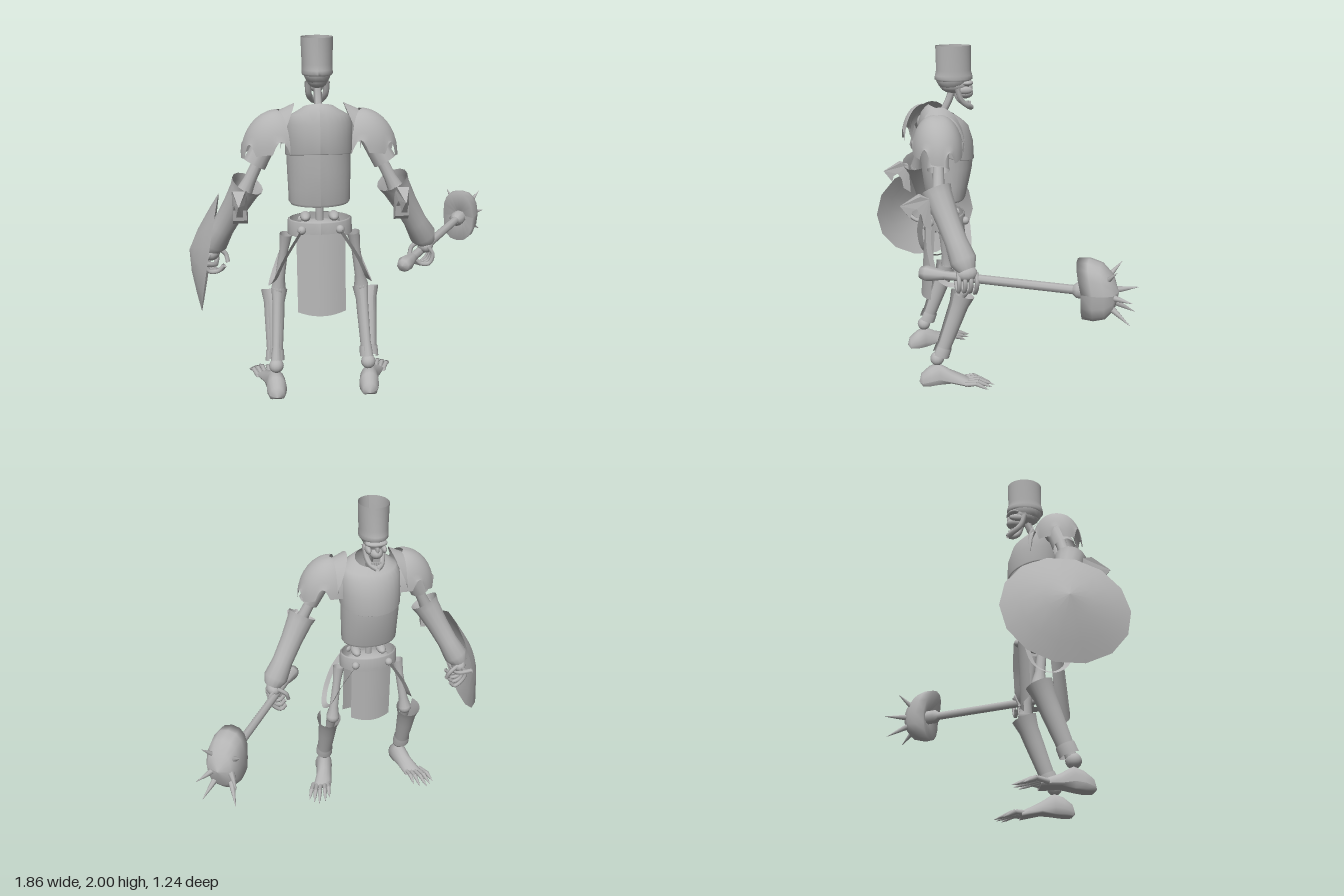
import * as THREE from 'three';

const bone = new THREE.MeshStandardMaterial({ color: 0xb4b4b4, side: THREE.DoubleSide });
bone.name = 'plain grey';
const V = (x, y, z) => new THREE.Vector3(x, y, z);
const CX = -0.21; // body centre line

export function createModel() {
  const model = new THREE.Group();
  model.name = 'skeletonWarrior';

  const add = (parent, name, geo) => {
    const m = new THREE.Mesh(geo, bone);
    m.name = name;
    parent.add(m);
    return m;
  };
  const ball = (p, name, x, y, z, rx, ry = rx, rz = rx) => {
    const m = add(p, name, new THREE.SphereGeometry(1, 14, 10));
    m.position.set(x, y, z);
    m.scale.set(rx, ry, rz);
    return m;
  };
  // turned shape from a to b; profile is [radius, fraction along the axis]
  const turned = (p, name, a, b, profile, seg = 12, start = 0, len = Math.PI * 2) => {
    const d = b.clone().sub(a), L = d.length();
    const pts = profile.map(([r, t]) => new THREE.Vector2(r, t * L));
    const m = add(p, name, new THREE.LatheGeometry(pts, seg, start, len));
    m.quaternion.setFromUnitVectors(V(0, 1, 0), d.normalize());
    m.position.copy(a);
    return m;
  };
  const tube = (p, name, pts, r) =>
    add(p, name, new THREE.TubeGeometry(new THREE.CatmullRomCurve3(pts), 14, r, 6));
  // grid surface from a rule f(u, v) -> point
  const surface = (p, name, nu, nv, f) => {
    const pos = [], idx = [];
    for (let j = 0; j <= nv; j++) for (let i = 0; i <= nu; i++) pos.push(...f(i / nu, j / nv).toArray());
    for (let j = 0; j < nv; j++) for (let i = 0; i < nu; i++) {
      const a = j * (nu + 1) + i, b = a + nu + 1;
      idx.push(a, b, a + 1, a + 1, b, b + 1);
    }
    const g = new THREE.BufferGeometry();
    g.setAttribute('position', new THREE.Float32BufferAttribute(pos, 3));
    g.setIndex(idx);
    g.computeVertexNormals();
    return add(p, name, g);
  };
  // stacked oval rings: [y, centre z, half width, half depth, rise towards the back]
  const rings = (p, name, rows) => surface(p, name, 28, rows.length - 1, (u, v) => {
    const [y, z, rx, rz, rise = 0] = rows[Math.round(v * (rows.length - 1))];
    const a = u * Math.PI * 2;
    return V(CX + rx * Math.sin(a), y + rise * Math.cos(a), z + rz * Math.cos(a));
  });

  // head, hat and neck
  const head = new THREE.Group();
  head.name = 'head';
  model.add(head);
  rings(head, 'hat', [[1.8, 0.19, 0.08, 0.1], [1.81, 0.19, 0.085, 0.112], [1.83, 0.19, 0.083, 0.11],
    [1.86, 0.19, 0.083, 0.102], [2.0, 0.19, 0.087, 0.104]]);
  ball(head, 'cranium', CX, 1.82, 0.2, 0.075, 0.085, 0.095);
  ball(head, 'skullBase', CX, 1.775, 0.185, 0.06, 0.05, 0.09);
  ball(head, 'brow', CX, 1.785, 0.12, 0.065, 0.02, 0.045);
  ball(head, 'upperJaw', CX, 1.725, 0.12, 0.038, 0.032, 0.045);
  ball(head, 'noseBridge', CX, 1.755, 0.1, 0.012, 0.035, 0.022);
  for (const s of [-1, 1]) {
    ball(head, 'cheekbone', CX + s * 0.045, 1.745, 0.13, 0.016, 0.022, 0.045);
    tube(head, 'jawSide', [V(CX + s * 0.052, 1.76, 0.18), V(CX + s * 0.046, 1.69, 0.155),
      V(CX + s * 0.03, 1.655, 0.115), V(CX, 1.64, 0.085)], 0.017);
  }
  for (let i = -2; i <= 2; i++) {
    const t = add(head, 'tooth', new THREE.BoxGeometry(0.009, 0.022, 0.008));
    t.position.set(CX + i * 0.012, 1.666, 0.092 + Math.abs(i) * 0.006);
  }
  tube(head, 'neck', [V(CX, 1.75, 0.2), V(CX, 1.69, 0.22), V(CX, 1.58, 0.28)], 0.022);

  // breastplate, spine and pelvis
  rings(model, 'lowerBreastplate', [[1.1, 0.25, 0.16, 0.11], [1.115, 0.25, 0.17, 0.118],
    [1.2, 0.245, 0.172, 0.135], [1.3, 0.24, 0.176, 0.152], [1.4, 0.24, 0.176, 0.155, 0.03]]);
  rings(model, 'upperBreastplate', [[1.37, 0.24, 0.177, 0.155, 0.032], [1.375, 0.24, 0.184, 0.163, 0.032],
    [1.47, 0.245, 0.184, 0.163, 0.02], [1.55, 0.255, 0.182, 0.145, 0.01], [1.595, 0.265, 0.16, 0.12, 0.022],
    [1.62, 0.265, 0.11, 0.095, 0.03], [1.635, 0.265, 0.085, 0.075, 0.03]]);
  turned(model, 'spine', V(CX, 0.93, 0.25), V(CX, 1.3, 0.25), [[0.022, 0], [0.022, 1]]);
  ball(model, 'pelvis', CX, 0.95, 0.25, 0.15, 0.05, 0.09);
  rings(model, 'belt', [[0.925, 0.255, 0.172, 0.112], [0.93, 0.255, 0.182, 0.12],
    [1.01, 0.255, 0.178, 0.117], [1.015, 0.255, 0.168, 0.108]]);

  // hanging cloths
  const cloth = (name, half, top, bottom, zTop, zBottom, bow) =>
    surface(model, name, 10, 5, (u, v) => V(CX + (u * 2 - 1) * half,
      top + (bottom - top) * v + 0.015 * v * (u * 2 - 1) ** 2,
      zTop + (zBottom - zTop) * v - bow * (u * 2 - 1) ** 2));
  cloth('backCloth', 0.135, 0.95, 0.48, 0.375, 0.41, 0.035);
  cloth('frontCloth', 0.125, 0.95, 0.55, 0.135, 0.145, -0.035);

  // one side of the body, later mirrored
  const buildSide = (name) => {
    const g = new THREE.Group();
    g.name = name;
    model.add(g);

    // domed shoulder plate with a jagged hem
    surface(g, 'pauldron', 48, 10, (u, v) => {
      const a = -0.35 + u * (Math.PI + 0.7), t = v * Math.PI / 2;
      const notch = Math.max(0, Math.sin(u * Math.PI * 8)) * 0.07 * Math.max(0, v - 0.8) * 5;
      return V(0.015 + 0.195 * Math.sin(t) * Math.sin(a),
        1.385 + 0.25 * Math.cos(t) + notch + 0.04 * v * Math.cos(a) ** 2,
        0.33 + 0.145 * Math.sin(t) * Math.cos(a));
    });
    // raised flange beside the neck
    surface(g, 'shoulderFlange', 14, 2, (u, v) => {
      const a = (u - 0.5) * Math.PI;
      return V(-v * 0.08 * Math.cos(a), 1.44 + 0.19 * Math.cos(a) + v * 0.035, 0.3 + 0.13 * Math.sin(a));
    });
    // arm
    ball(g, 'shoulderJoint', 0.03, 1.52, 0.32, 0.06);
    turned(g, 'upperArmPlate', V(0.06, 1.49, 0.33), V(0.14, 1.35, 0.35), [[0.06, 0], [0.065, 1]], 10);
    turned(g, 'upperArm', V(0.04, 1.52, 0.33), V(0.2, 1.2, 0.36), [[0.04, 0], [0.03, 0.4], [0.034, 0.8], [0.045, 1]]);
    ball(g, 'elbow', 0.2, 1.2, 0.36, 0.045);
    turned(g, 'gauntlet', V(0.178, 1.25, 0.37), V(0.402, 0.845, 0.245),
      [[0.09, 0], [0.08, 0.08], [0.068, 0.35], [0.064, 0.65], [0.076, 0.88], [0.05, 1]], 14);
    // hooked spur, narrowing towards its tip
    const hook = new THREE.Shape([[0.577, 1.18], [0.47, 1.235], [0.42, 1.22], [0.41, 1.04], [0.455, 1.07],
      [0.465, 1.13], [0.49, 1.165], [0.515, 1.15], [0.525, 1.11]].map(([a, b]) => new THREE.Vector2(a, b)));
    const spurGeo = new THREE.ExtrudeGeometry(hook, { depth: 0.08, bevelEnabled: false }).translate(0, 0, -0.04);
    const sp = spurGeo.attributes.position;
    for (let i = 0; i < sp.count; i++) sp.setZ(i, sp.getZ(i) * Math.min(1, (0.585 - sp.getX(i)) / 0.14));
    spurGeo.computeVertexNormals();
    const spur = add(g, 'elbowSpur', spurGeo);
    spur.rotation.y = -Math.PI / 2;
    spur.position.x = 0.222;
    // hand
    ball(g, 'palm', 0.395, 0.825, 0.245, 0.045, 0.045, 0.06);
    for (let i = 0; i < 4; i++) {
      const z = 0.195 + i * 0.033;
      tube(g, 'finger', [V(0.4, 0.83, z), V(0.43, 0.785, z), V(0.41, 0.73, z), V(0.36, 0.695 + i * 0.012, z),
        V(0.33, 0.725 + i * 0.012, z)], 0.0125);
    }
    tube(g, 'thumb', [V(0.38, 0.84, 0.21), V(0.325, 0.8, 0.2), V(0.31, 0.75, 0.215)], 0.013);

    // belt studs and the looped strap between them
    ball(g, 'frontStud', -0.105, 0.975, 0.15, 0.024);
    ball(g, 'backStud', -0.105, 0.975, 0.365, 0.024);
    ball(g, 'hipCrest', -0.13, 1.02, 0.25, 0.03, 0.025, 0.06);
    const loop = new THREE.CatmullRomCurve3([V(-0.105, 0.975, 0.375), V(-0.01, 0.82, 0.385), V(0.05, 0.68, 0.345),
      V(0.07, 0.635, 0.265), V(0.05, 0.68, 0.185), V(-0.01, 0.82, 0.15), V(-0.105, 0.975, 0.14)]);
    surface(g, 'hipStrap', 30, 1, (u, v) => {
      const w = loop.getTangent(u).cross(V(0.9, 0.42, 0)).normalize();
      w.lerp(V(0.9, 0.42, 0), 0.4).normalize();
      return loop.getPoint(u).addScaledVector(w, (v - 0.5) * 0.038);
    });

    // leg
    turned(g, 'thighBone', V(0.03, 0.58, 0.205), V(-0.02, 0.92, 0.25), [[0.042, 0], [0.028, 0.2], [0.025, 0.7], [0.036, 1]]);
    ball(g, 'knee', 0.03, 0.575, 0.205, 0.042);
    turned(g, 'shinBone', V(0.055, 0.17, 0.36), V(0.035, 0.57, 0.21), [[0.034, 0], [0.024, 0.25], [0.028, 0.8], [0.036, 1]]);
    turned(g, 'greave', V(0.062, 0.19, 0.345), V(0.055, 0.57, 0.205),
      [[0.054, 0], [0.052, 0.14], [0.046, 0.15], [0.056, 0.6], [0.06, 0.82], [0.076, 1]], 18, Math.PI * 0.2, Math.PI * 1.6);
    ball(g, 'ankle', 0.055, 0.165, 0.365, 0.042);
    // foot as cross-sections from heel to toes: [x, z, half width, height, underside]
    const foot = [[0.055, 0.475, 0.005, 0.03, 0.02], [0.055, 0.46, 0.042, 0.075, 0.004], [0.056, 0.41, 0.058, 0.115, 0.004],
      [0.06, 0.36, 0.054, 0.135, 0.01], [0.078, 0.29, 0.052, 0.092, 0.022], [0.1, 0.22, 0.06, 0.06, 0.012],
      [0.113, 0.18, 0.06, 0.04, 0.006]];
    surface(g, 'foot', 16, foot.length - 1, (u, v) => {
      const [x, z, w, h, low] = foot[Math.round(v * (foot.length - 1))];
      const a = u * Math.PI * 2;
      return V(x + w * Math.cos(a), Math.max(low, h * (0.35 + 0.65 * Math.sin(a))), z);
    });
    [[0.085, 0.08], [0.118, 0.05], [0.163, 0.035], [0.192, 0.055], [0.218, 0.085]].forEach(([x, z], i) => {
      const a = V(0.068 + i * 0.024, 0.026, 0.215), mid = V((a.x + x) / 2, 0.036, (a.z + z) / 2);
      turned(g, 'toe', a, mid, [[0.015, 0], [0.013, 1]], 7);
      turned(g, 'claw', mid, V(x, 0.004, z), [[0.015, 0], [0.009, 0.6], [0.001, 1]], 7);
    });
    return g;
  };
  buildSide('leftSide');
  const other = buildSide('rightSide');
  other.scale.x = -1;
  other.position.x = 2 * CX;

  // shield: shallow cone with a grip
  const apex = V(-0.933, 0.86, 0.285), rim = V(-0.82, 0.84, 0.285);
  turned(model, 'shield', rim, apex, [[0.332, 0], [0.24, 0.34], [0.12, 0.74], [0.001, 1]], 14);
  tube(model, 'shieldGrip', [V(-0.88, 0.82, 0.16), V(-0.8, 0.79, 0.2), V(-0.79, 0.78, 0.28), V(-0.8, 0.79, 0.35), V(-0.88, 0.82, 0.4)], 0.015);

  // mace handle
  const mace = new THREE.Group();
  mace.name = 'mace';
  model.add(mace);
  const along = V(0.527, 0.008, -0.85).normalize(), across = V(0.85, 0, 0.527);
  const grip = V(0.24, 0.79, 0.455);
  const at = (t) => grip.clone().addScaledVector(along, t);
  turned(mace, 'handle', at(0), at(0.93), [[0.025, 0], [0.025, 1]], 8);
  turned(mace, 'pommel', at(-0.03), at(0.12), [[0.001, 0], [0.035, 0.05], [0.045, 0.3], [0.026, 1]], 8);
  turned(mace, 'collar', at(0.85), at(0.93), [[0.026, 0], [0.045, 0.3], [0.045, 1]], 10);
  // mushroom head: [distance along, half width, half height], swept back at the top
  const cap = [[0.94, 0.02, 0.03], [0.91, 0.098, 0.165], [0.97, 0.104, 0.168], [1.03, 0.095, 0.15], [1.07, 0.07, 0.1], [1.09, 0.001, 0.001]];
  surface(mace, 'maceHead', 16, cap.length - 1, (u, v) => {
    const [t, w, h] = cap[Math.round(v * (cap.length - 1))];
    const a = u * Math.PI * 2, s = Math.sin(a), c = Math.cos(a);
    const y = h * Math.sign(s) * Math.abs(s) ** 0.8;
    return at(t - Math.max(0, y) * 0.25).addScaledVector(across, w * Math.sign(c) * Math.abs(c) ** 0.8).add(V(0, y + 0.012, 0));
  });
  // spikes
  const core = at(0.96);
  for (const tip of [[0.93, 0.79, -0.5], [0.73, 0.795, -0.62], [0.88, 0.945, -0.43],
    [0.69, 0.935, -0.535], [0.91, 0.66, -0.5], [0.74, 0.66, -0.6]]) {
    const b = V(...tip);
    turned(mace, 'spike', core.clone().lerp(b, 0.3), b, [[0.024, 0], [0.011, 0.6], [0.001, 1]], 7);
  }
  return model;
}
